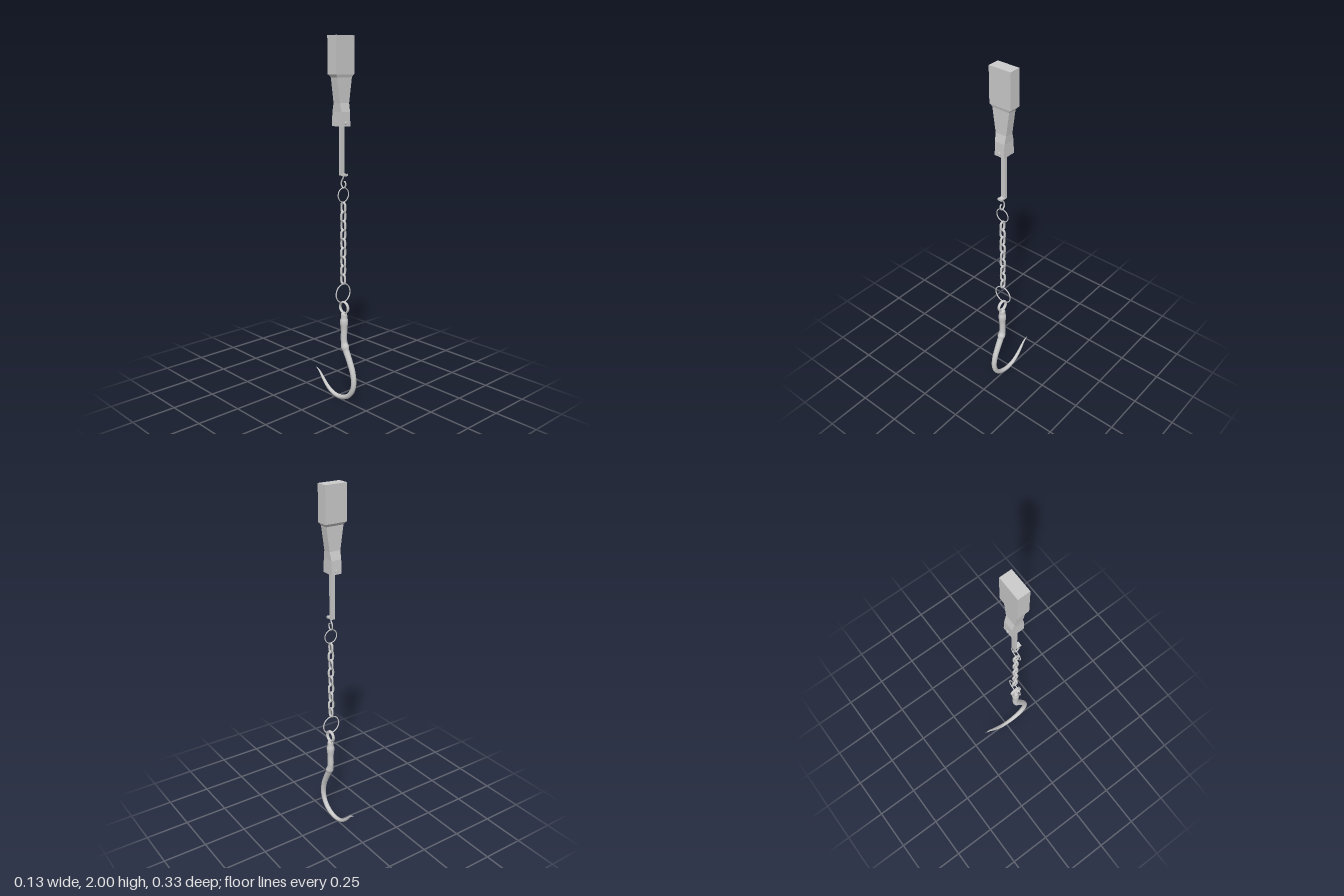
import * as THREE from 'three';

const smooth = new THREE.MeshStandardMaterial({ color: 0xcccccc, side: THREE.DoubleSide });
const flat = new THREE.MeshStandardMaterial({ color: 0xcccccc, side: THREE.DoubleSide, flatShading: true });

function add(parent, name, geometry, material, x = 0, y = 0, z = 0) {
  const mesh = new THREE.Mesh(geometry, material);
  mesh.name = name;
  mesh.position.set(x, y, z);
  parent.add(mesh);
  return mesh;
}

// Rectangular sections [y, halfWidth, zBack, zFront], listed from top to bottom
function loftBox(sections) {
  const pos = [], index = [];
  for (const [y, w, b, f] of sections) pos.push(-w, y, f, w, y, f, w, y, b, -w, y, b);
  const n = sections.length;
  for (let i = 0; i < n - 1; i++) {
    for (let k = 0; k < 4; k++) {
      const a = i * 4 + k, b = i * 4 + (k + 1) % 4;
      index.push(a, a + 4, b, b, a + 4, b + 4);
    }
  }
  const e = (n - 1) * 4;
  index.push(0, 1, 2, 0, 2, 3, e, e + 2, e + 1, e, e + 3, e + 2);
  const g = new THREE.BufferGeometry();
  g.setAttribute('position', new THREE.Float32BufferAttribute(pos, 3));
  g.setIndex(index);
  const out = g.toNonIndexed();
  out.computeVertexNormals();
  return out;
}

// Round bar in the x = 0 plane through points [z, y, radius]
function taperedBar(points, segments, sides) {
  const curve = new THREE.CatmullRomCurve3(points.map(([z, y]) => new THREE.Vector3(0, y, z)));
  const radii = new THREE.CatmullRomCurve3(points.map(p => new THREE.Vector3(p[2], 0, 0)));
  const g = new THREE.TubeGeometry(curve, segments, 1, sides);
  const p = g.attributes.position, v = new THREE.Vector3();
  for (let i = 0; i <= segments; i++) {
    const t = curve.getUtoTmapping(i / segments);
    const c = curve.getPoint(t), r = Math.max(radii.getPoint(t).x, 0.0005);
    for (let j = 0; j <= sides; j++) {
      const k = i * (sides + 1) + j;
      v.fromBufferAttribute(p, k).sub(c).multiplyScalar(r).add(c);
      p.setXYZ(k, v.x, v.y, v.z);
    }
  }
  g.computeVertexNormals();
  return g;
}

// Oval chain link: a torus pulled apart into two half rings
function linkGeometry(radius, tube, stretch) {
  const g = new THREE.TorusGeometry(radius, tube, 8, 20);
  const p = g.attributes.position;
  for (let i = 0; i < p.count; i++) {
    const y = p.getY(i);
    if (Math.abs(y) > 1e-5) p.setY(i, y + Math.sign(y) * stretch);
  }
  g.computeVertexNormals();
  return g;
}

export function createModel() {
  const model = new THREE.Group();
  model.name = 'hangingHook';
  const zc = 0.065;

  // Mounting block and the neck narrowing below it
  add(model, 'mountingBlock', new THREE.BoxGeometry(0.13, 0.195, 0.066), flat, 0, 1.9025, 0.045);
  add(model, 'neck', loftBox([
    [1.805, 0.062, 0.014, 0.076],
    [1.79, 0.052, 0.024, 0.072],
    [1.66, 0.033, 0.024, 0.072],
    [1.615, 0.03, 0.012, 0.082],
    [1.54, 0.03, 0.008, 0.085],
  ]), flat);
  const pin = add(model, 'neckPin', new THREE.CylinderGeometry(0.009, 0.009, 0.088, 12), smooth, 0, 1.557, 0.048);
  pin.rotation.x = Math.PI / 2;

  // Flat strap with a bent foot
  add(model, 'strap', new THREE.BoxGeometry(0.026, 0.265, 0.016), flat, 0, 1.4175, 0.051);
  add(model, 'strapFoot', new THREE.BoxGeometry(0.026, 0.009, 0.044), flat, 0, 1.286, 0.065);
  add(model, 'strapLip', new THREE.BoxGeometry(0.026, 0.012, 0.006), flat, 0, 1.286, 0.084);

  // Small wire hook
  add(model, 'wireHook', taperedBar([
    [0.068, 1.287, 0.004], [0.062, 1.268, 0.004], [0.051, 1.25, 0.004], [0.05, 1.23, 0.004],
    [0.065, 1.215, 0.004], [0.081, 1.228, 0.004], [0.081, 1.245, 0.004], [0.072, 1.252, 0.004],
  ], 30, 8), smooth);

  // Thin rings above and below the chain
  add(model, 'upperRing', new THREE.TorusGeometry(0.038, 0.003, 8, 40), smooth, 0, 1.178, zc);
  add(model, 'lowerRing', new THREE.TorusGeometry(0.052, 0.0035, 8, 48), smooth, 0, 0.632, zc);

  // Chain of links turned alternately
  const chain = new THREE.Group();
  chain.name = 'chain';
  const link = linkGeometry(0.0145, 0.0065, 0.011);
  for (let i = 0; i < 9; i++) {
    const m = add(chain, 'chainLink', link, smooth, 0, 1.11 - i * 0.0498, zc);
    if (i % 2 === 0) m.rotation.y = Math.PI / 2;
  }
  model.add(chain);

  // Eye of the large hook, flattened to a band
  const eye = add(model, 'hookEye', new THREE.TorusGeometry(0.031, 0.005, 10, 32), smooth, 0, 0.552, 0.073);
  eye.rotation.y = Math.PI / 2;
  eye.scale.z = 1.8;

  // Large hook, tapering to a point at the back
  add(model, 'largeHook', taperedBar([
    [0.073, 0.528, 0.004], [0.073, 0.518, 0.017], [0.073, 0.49, 0.018], [0.073, 0.42, 0.018],
    [0.074, 0.35, 0.018], [0.088, 0.31, 0.018], [0.118, 0.25, 0.017], [0.143, 0.19, 0.016],
    [0.152, 0.13, 0.015], [0.14, 0.08, 0.0145], [0.108, 0.04, 0.014], [0.065, 0.019, 0.013],
    [0.02, 0.013, 0.012], [-0.03, 0.024, 0.011], [-0.07, 0.05, 0.01], [-0.103, 0.083, 0.008],
    [-0.133, 0.115, 0.005], [-0.167, 0.133, 0.0005],
  ], 110, 14), smooth);

  return model;
}
